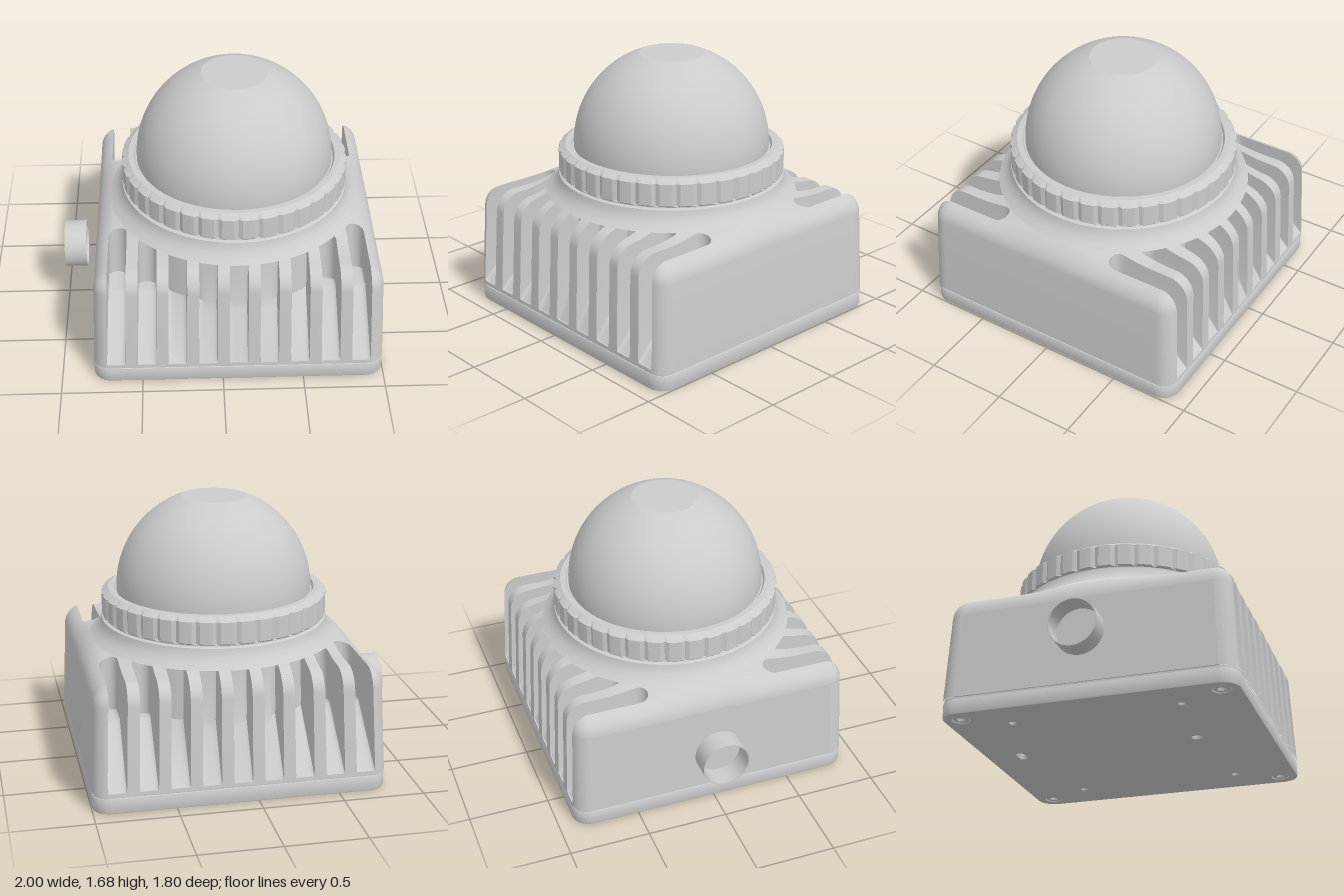
import * as THREE from 'three';
import { toCreasedNormals } from 'three/addons/utils/BufferGeometryUtils.js';

const CX = 0.097, HALF = 0.9, CORNER = 0.1, FILLET = 0.12, BASE = 0.11;
const PITCH = 0.19, SLOT = 0.058;
const grey = new THREE.MeshStandardMaterial({ color: 0xcccccc });
const greyDouble = new THREE.MeshStandardMaterial({ color: 0xcccccc, side: THREE.DoubleSide });

function add(parent, name, geometry, x = 0, y = 0, z = 0, material = grey) {
  const mesh = new THREE.Mesh(geometry, material);
  mesh.name = name;
  mesh.position.set(x, y, z);
  parent.add(mesh);
  return mesh;
}

const lathe = (pts, seg = 72) => new THREE.LatheGeometry(pts.map(p => new THREE.Vector2(...p)), seg);
const creased = (g, a = 0.6) => toCreasedNormals(g, a);

function roundedRect(T, x0, y0, w, h, r) {
  const s = new T();
  s.absarc(x0 + w / 2 - r, y0 + h / 2 - r, r, 0, Math.PI / 2);
  s.absarc(x0 - w / 2 + r, y0 + h / 2 - r, r, Math.PI / 2, Math.PI);
  s.absarc(x0 - w / 2 + r, y0 - h / 2 + r, r, Math.PI, Math.PI * 1.5);
  s.absarc(x0 + w / 2 - r, y0 - h / 2 + r, r, Math.PI * 1.5, Math.PI * 2);
  s.closePath();
  return s;
}

// Side taper of the housing
const taper = y => 1 - 0.05 * (y - BASE);

// Plan outline and top height of the housing without slots
function edgeZ(x) {
  const q = Math.max(Math.abs(x) - (HALF - CORNER), 0);
  return HALF - CORNER + Math.sqrt(Math.max(CORNER * CORNER - q * q, 0));
}
function topHeight(x, z) {
  const qx = Math.abs(x) - HALF + CORNER, qz = Math.abs(z) - HALF + CORNER;
  const outside = Math.hypot(Math.max(qx, 0), Math.max(qz, 0));
  const d = CORNER - outside - Math.min(Math.max(qx, qz), 0);
  const e = FILLET - Math.min(Math.max(d, 0), FILLET);
  const rise = Math.min(Math.max((0.97 - Math.hypot(x, z)) / 0.25, 0), 1);
  return 0.775 + 0.075 * rise * rise - FILLET + Math.sqrt(FILLET * FILLET - e * e);
}

// Inner end of a slot; u runs from -1 to 1 across its width
function slotEnd(k, u) {
  const x = k * PITCH + u * SLOT;
  const round = SLOT * (1 - Math.sqrt(Math.max(1 - u * u, 0)));
  const limit = [0, 0, 0, 0.5, 0.39][Math.abs(k)] + round;
  return Math.max(limit, Math.sqrt(Math.max(0.735 ** 2 - x * x, 0)));
}

// Cross-section across z at one x station, from front to back
function section({ x, end, u, cut }) {
  const z0 = edgeZ(x), knee = Math.max(0.58, end), half = [[z0, BASE]];
  const lift = 0.04 * (1 - Math.pow(Math.max(1 - Math.pow(u, 4), 0), 0.25));
  const put = (z, inSlot) => {
    const top = topHeight(x, z);
    const slope = Math.min((0.89 - z) / (0.89 - knee), 1);
    const floor = Math.max(0.13 + 0.33 * slope + lift, 0.13);
    half.push([z, inSlot && cut ? Math.min(floor, top) : top]);
  };
  const z1 = Math.max(z0 - FILLET, knee);
  for (let i = 0; i <= 8; i++) put(z0 + (z1 - z0) * (1 - Math.cos(i * Math.PI / 16)), true);
  for (let i = 1; i <= 3; i++) put(z1 + (knee - z1) * i / 3, true);
  for (let i = 1; i <= 3; i++) put(knee + (end - knee) * i / 3, true);
  for (let i = 0; i <= 8; i++) put(end * (1 - i / 8), false);
  return [...half, ...half.slice(0, -1).reverse().map(([z, y]) => [-z, y])]
    .map(([z, y]) => [x * taper(y), y, z * taper(y)]);
}

// Finned housing lofted along x, with doubled stations at the slot walls
function housingSections() {
  const st = [];
  for (let i = 0; i < 6; i++) st.push({ x: -HALF + 0.08 * (1 - Math.cos(i * Math.PI / 12)), end: 0.45, u: 0, cut: false });
  for (let k = -4; k <= 4; k++) {
    const at = (u, cut) => st.push({ x: k * PITCH + u * SLOT, end: slotEnd(k, u), u, cut });
    at(-1, false);
    for (let i = 0; i <= 10; i++) at(-Math.cos(i * Math.PI / 10), true);
    at(1, false);
  }
  for (let i = 5; i >= 0; i--) st.push({ x: HALF - 0.08 * (1 - Math.cos(i * Math.PI / 12)), end: 0.45, u: 0, cut: false });
  return st.map(section);
}

function loft(rows) {
  const n = rows[0].length, index = [];
  for (let i = 0; i < rows.length - 1; i++) for (let j = 0; j < n - 1; j++) {
    const a = i * n + j, b = a + n;
    index.push(a, b, a + 1, b, b + 1, a + 1);
  }
  const g = new THREE.BufferGeometry();
  g.setAttribute('position', new THREE.Float32BufferAttribute(rows.flat(2), 3));
  g.setIndex(index);
  return creased(g, 0.5);
}

function screw(parent, name, r, x, y, z) {
  const g = lathe([[r, -0.01], [r, 0.004], [r * 0.9, 0.012], [r * 0.5, 0.012], [r * 0.42, -0.006], [0, -0.006]], 18);
  return add(parent, name, creased(g), x, y, z);
}

export function createModel() {
  const model = new THREE.Group();
  const body = new THREE.Group();
  body.name = 'body';
  body.position.x = CX;
  model.add(body);

  // Housing; the +x wall closes the loft
  const rows = housingSections();
  const last = rows[rows.length - 1];
  add(body, 'finnedHousing', loft([...rows, last.map(p => [HALF, BASE, p[2]])]));

  // -x wall with the opening for the connector panel
  const outline = rows[0].filter((p, i, all) => !i || Math.hypot(p[1] - all[i - 1][1], p[2] - all[i - 1][2]) > 1e-4);
  const wall = new THREE.Shape(outline.map(p => new THREE.Vector2(p[2], p[1])));
  wall.holes.push(roundedRect(THREE.Path, 0, 0.39, 0.68, 0.5, 0.05));
  const wallGeo = new THREE.ExtrudeGeometry(wall, { depth: 0.06, bevelEnabled: false, curveSegments: 8 });
  wallGeo.translate(0, 0, -0.06).rotateY(-Math.PI / 2);
  const p = wallGeo.attributes.position;
  for (let i = 0; i < p.count; i++) p.setX(i, p.getX(i) - HALF * taper(p.getY(i)));
  wallGeo.computeVertexNormals();
  add(body, 'connectorWall', creased(wallGeo));

  // Recessed panel, its screws and the connector sleeve
  add(model, 'connectorPanel', new THREE.BoxGeometry(0.02, 0.55, 0.72), -0.725, 0.39, 0);
  for (const sy of [-1, 1]) for (const sz of [-1, 1])
    screw(model, 'panelScrew', 0.05, -0.737, 0.39 + sy * 0.19, sz * 0.27).rotation.z = Math.PI / 2;
  const sleeve = lathe([[0.142, -0.07], [0.15, -0.07], [0.15, 0.07], [0.142, 0.07], [0.142, -0.07]], 40);
  add(model, 'connectorSleeve', creased(sleeve), -0.93, 0.4, 0, greyDouble).rotation.z = Math.PI / 2;

  // Base plate with mounting holes
  const plate = roundedRect(THREE.Shape, 0, 0, 1.78, 1.78, 0.1);
  const hole = (x, z, r) => plate.holes.push(new THREE.Path().absarc(x, z, r, 0, Math.PI * 2, true));
  for (const sx of [-1, 1]) for (const sz of [-1, 1]) {
    hole(sx * 0.79, sz * 0.79, 0.065);
    hole(sx * 0.65, sz * 0.52, 0.032);
    screw(body, 'baseScrew', 0.055, sx * 0.79, 0.018, sz * 0.79).rotation.x = Math.PI;
  }
  hole(-0.09, 0.46, 0.042);
  plate.holes.push(roundedRect(THREE.Path, -0.09, -0.68, 0.13, 0.07, 0.034));
  const plateGeo = new THREE.ExtrudeGeometry(plate, {
    depth: 0.08, bevelThickness: 0.01, bevelSize: 0.01, bevelSegments: 2, curveSegments: 12 });
  plateGeo.rotateX(Math.PI / 2);
  add(body, 'basePlate', creased(plateGeo), 0, 0.09, 0);
  const seal = new THREE.ExtrudeGeometry(roundedRect(THREE.Shape, 0, 0, 1.785, 1.785, 0.095),
    { depth: 0.07, bevelEnabled: false, curveSegments: 12 });
  seal.rotateX(Math.PI / 2);
  add(body, 'baseSeal', creased(seal), 0, 0.112, 0);

  // Neck flaring into the housing
  add(body, 'neck', creased(lathe([[0.79, 0.805], [0.755, 0.83], [0.73, 0.86], [0.715, 0.89],
    [0.71, 0.915], [0.69, 0.922], [0.69, 0.95]], 96)));

  // Clamp ring with narrow grip notches
  const ring = lathe([[0.68, 0.932], [0.7, 0.932], [0.708, 0.94], [0.708, 1.075], [0.665, 1.103],
    [0.632, 1.103], [0.622, 1.085], [0.6, 1.085]], 180);
  const rp = ring.attributes.position;
  for (let i = 0; i < rp.count; i++) {
    const r = Math.hypot(rp.getX(i), rp.getZ(i));
    const step = Math.round(Math.atan2(rp.getZ(i), rp.getX(i)) / (Math.PI / 90)) + 180;
    if (r > 0.705 && step % 5 === 0) {
      rp.setX(i, rp.getX(i) * 0.982);
      rp.setZ(i, rp.getZ(i) * 0.982);
    }
  }
  add(body, 'clampRing', creased(ring, 0.3));

  // Dome with a flat top
  const R = 0.613, cut = Math.asin(0.205 / R);
  add(body, 'dome', new THREE.SphereGeometry(R, 64, 24, 0, Math.PI * 2, cut, 1.64 - cut), 0, 1.1, 0);
  add(body, 'domeFlat', new THREE.CircleGeometry(0.205, 64).rotateX(-Math.PI / 2), 0, 1.1 + R * Math.cos(cut), 0);
  return model;
}
